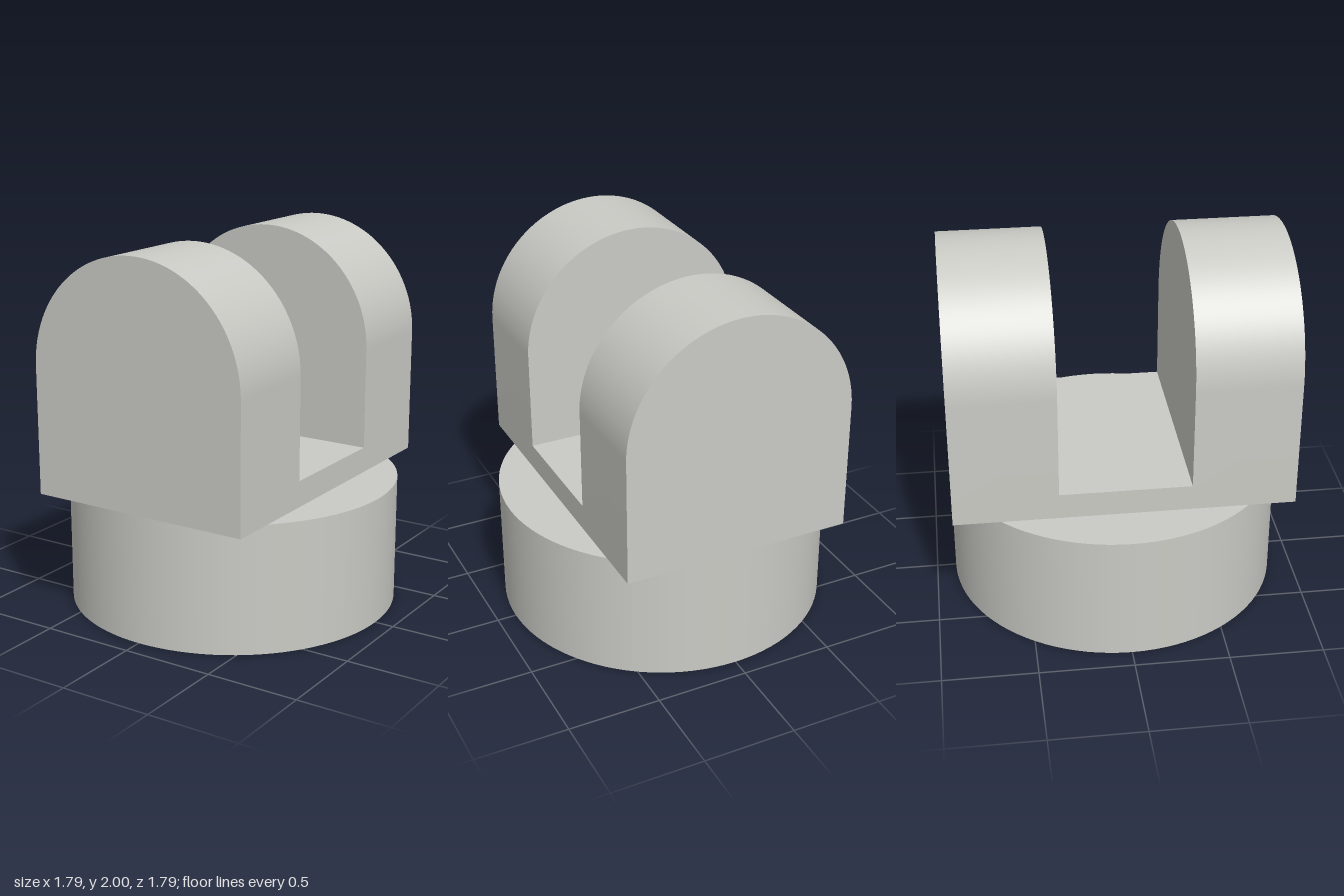
import * as THREE from 'three';
import { toCreasedNormals } from 'three/addons/utils/BufferGeometryUtils.js';

export function createModel() {
  const group = new THREE.Group();
  group.name = 'clevis';
  const metal = new THREE.MeshStandardMaterial({ color: 0xcacac5 });
  metal.name = 'light grey metal';

  const R = 0.895;        // base radius and half depth of the fork
  const baseTop = 0.693;
  const floorY = 0.833;   // bottom of the slot
  const halfW = 0.62;     // half width of the fork, radius of its round top
  const slot = 0.346;     // half width of the slot

  function add(name, geometry, x, y, z) {
    const mesh = new THREE.Mesh(geometry, metal);
    mesh.name = name;
    mesh.position.set(x, y, z);
    group.add(mesh);
  }

  // Round base
  add('base', new THREE.CylinderGeometry(R, R, baseTop, 96), 0, baseTop / 2, 0);

  // Plate joining the two arms under the slot
  const plateH = floorY - baseTop;
  add('slotFloor', new THREE.BoxGeometry(halfW * 2, plateH, slot * 2), 0, baseTop + plateH / 2, 0);

  // Round-topped arms at front and back
  const outline = new THREE.Shape();
  outline.moveTo(-halfW, baseTop);
  outline.lineTo(halfW, baseTop);
  outline.lineTo(halfW, 2 - halfW);
  outline.absarc(0, 2 - halfW, halfW, 0, Math.PI, false);
  outline.closePath();
  const arm = toCreasedNormals(
    new THREE.ExtrudeGeometry(outline, { depth: R - slot, bevelEnabled: false, curveSegments: 48 }),
    0.5
  );
  add('frontArm', arm, 0, 0, slot);
  add('backArm', arm, 0, 0, -R);

  return group;
}
